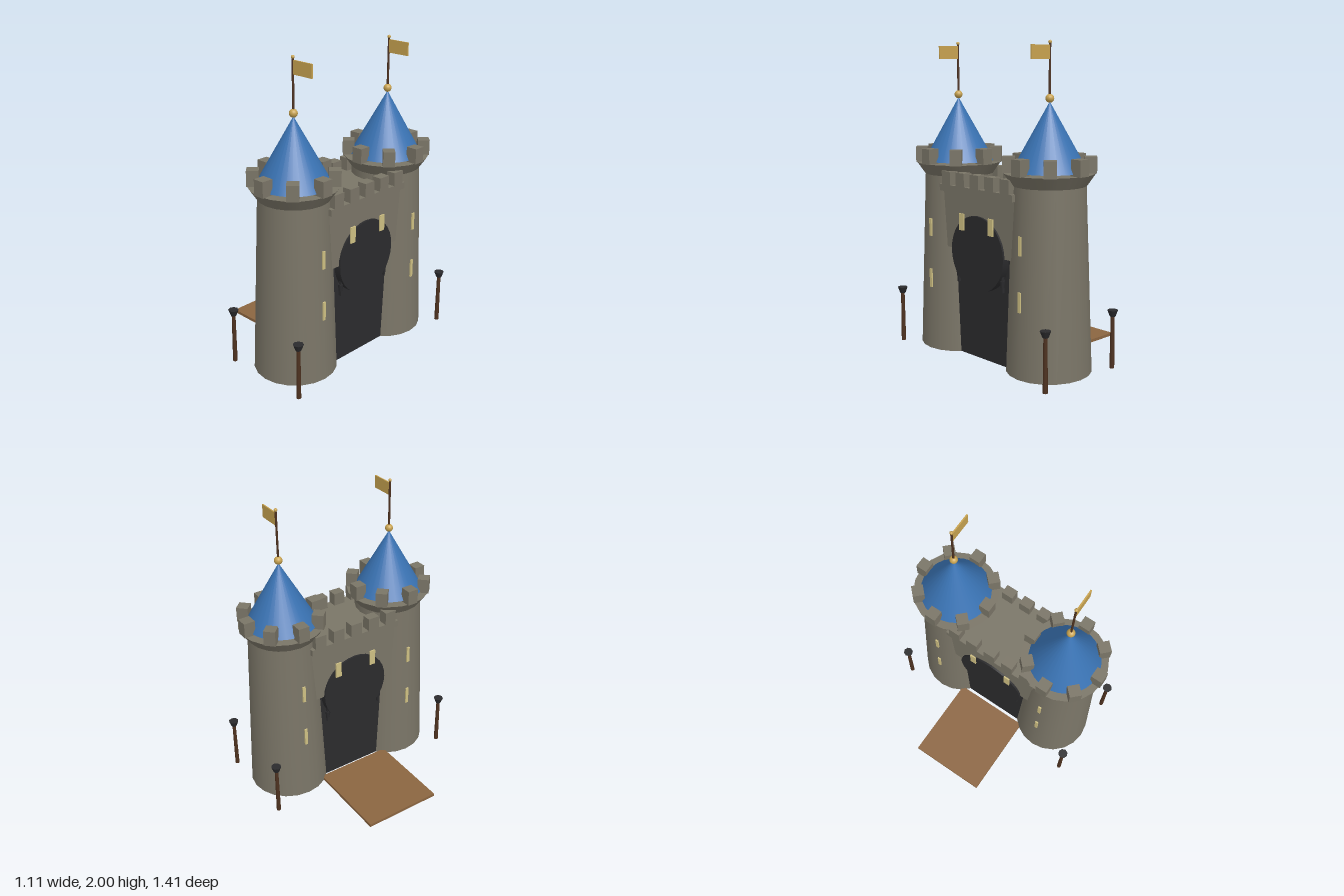
import * as THREE from 'three';

const mat = (name, color, side = THREE.FrontSide) => {
  const m = new THREE.MeshStandardMaterial({ color, side });
  m.name = name;
  return m;
};

export function createModel() {
  const root = new THREE.Group();
  root.name = 'castleGate';
  const stone = mat('stone', 0x7a7567);
  const dark = mat('darkIron', 0x2b2b2d);
  const blue = mat('blueRoof', 0x3972b2, THREE.DoubleSide);
  const wood = mat('plankWood', 0x8b6540);
  const post = mat('darkWood', 0x4e3220);
  const gold = mat('gold', 0xc8a350);
  const glow = mat('windowGlow', 0xcfc083);

  const add = (parent, name, geo, material, x = 0, y = 0, z = 0) => {
    const m = new THREE.Mesh(geo, material);
    m.name = name;
    m.position.set(x, y, z);
    parent.add(m);
    return m;
  };
  const box = (w, h, d) => new THREE.BoxGeometry(w, h, d);
  // Cylinder or cone standing on its base
  const cyl = (top, bottom, h, sides) =>
    new THREE.CylinderGeometry(top, bottom, h, sides).translate(0, h / 2, 0);

  const castle = new THREE.Group();
  castle.name = 'castle';
  castle.position.x = 0.225;
  root.add(castle);

  // Round towers
  for (const s of [1, -1]) {
    const tower = new THREE.Group();
    tower.name = s > 0 ? 'frontTower' : 'backTower';
    tower.position.z = s * 0.415;
    castle.add(tower);
    add(tower, 'towerWall', cyl(0.222, 0.265, 1.16, 20), stone);
    add(tower, 'flaredParapet', cyl(0.277, 0.225, 0.075, 20), stone, 0, 1.147, 0);
    for (let i = 0; i < 8; i++) {
      const a = (i * Math.PI) / 4;
      const m = add(tower, 'towerMerlon', box(0.075, 0.1, 0.075), stone,
        Math.cos(a) * 0.243, 1.27, Math.sin(a) * 0.243);
      m.rotation.y = -a;
    }
    add(tower, 'coneRoof', cyl(0, 0.229, 0.41, 32), blue, 0, 1.232, 0);
    add(tower, 'roofBall', new THREE.SphereGeometry(0.026, 16, 12), gold, 0, 1.66, 0);
    add(tower, 'flagPole', cyl(0.007, 0.007, 0.35, 8), post, 0, 1.64, 0);
    add(tower, 'poleKnob', new THREE.SphereGeometry(0.011, 12, 8), gold, 0, 1.987, 0);
    add(tower, 'flag', box(0.15, 0.083, 0.009), gold, 0.08, 1.929, 0);
    // Arrow slits on both gate faces
    for (const side of [1, -1]) {
      add(tower, 'upperSlit', box(0.009, 0.115, 0.021), glow, side * 0.248, 0.81, 0);
      add(tower, 'lowerSlit', box(0.009, 0.122, 0.021), glow, side * 0.252, 0.472, 0);
    }
  }

  // Gatehouse between the towers
  const gate = new THREE.Group();
  gate.name = 'gatehouse';
  castle.add(gate);
  add(gate, 'gateWall', box(0.41, 0.37, 0.72), stone, 0, 0.88, 0);
  add(gate, 'gateCornice', box(0.466, 0.042, 0.67), stone, 0, 1.08, 0);
  add(gate, 'gatePassage', box(0.34, 0.7, 0.5), dark, 0, 0.352, 0);
  const arch = add(gate, 'gateArch', new THREE.CylinderGeometry(0.24, 0.24, 0.436, 32), dark, 0, 0.69, 0);
  arch.rotation.z = Math.PI / 2;
  for (const side of [1, -1]) {
    for (let i = -2; i <= 2; i++)
      add(gate, 'gateMerlon', box(0.064, 0.088, 0.08), stone, side * 0.203, 1.143, i * 0.135);
    for (const s of [1, -1]) {
      add(gate, 'gateWindow', box(0.009, 0.106, 0.042), glow, side * 0.222, 0.878, s * 0.134);
      // Small bracket lamps beside the passage
      add(gate, 'lampStem', box(0.018, 0.1, 0.014), dark, side * 0.19, 0.528, s * 0.205);
      add(gate, 'lampCup', cyl(0.017, 0.012, 0.045, 8), dark, side * 0.19, 0.51, s * 0.205);
    }
  }

  // Lowered drawbridge
  add(root, 'drawbridge', box(0.585, 0.02, 0.53), wood, -0.2625, 0.01, 0);

  // Free-standing torches at the corners
  for (const x of [-0.07, 0.52])
    for (const z of [0.673, -0.673]) {
      const torch = new THREE.Group();
      torch.name = 'torch';
      torch.position.set(x, 0, z);
      root.add(torch);
      add(torch, 'torchPost', cyl(0.012, 0.015, 0.34, 8), post);
      add(torch, 'torchBowl', cyl(0.033, 0.018, 0.04, 8), dark, 0, 0.33, 0);
    }
  return root;
}
